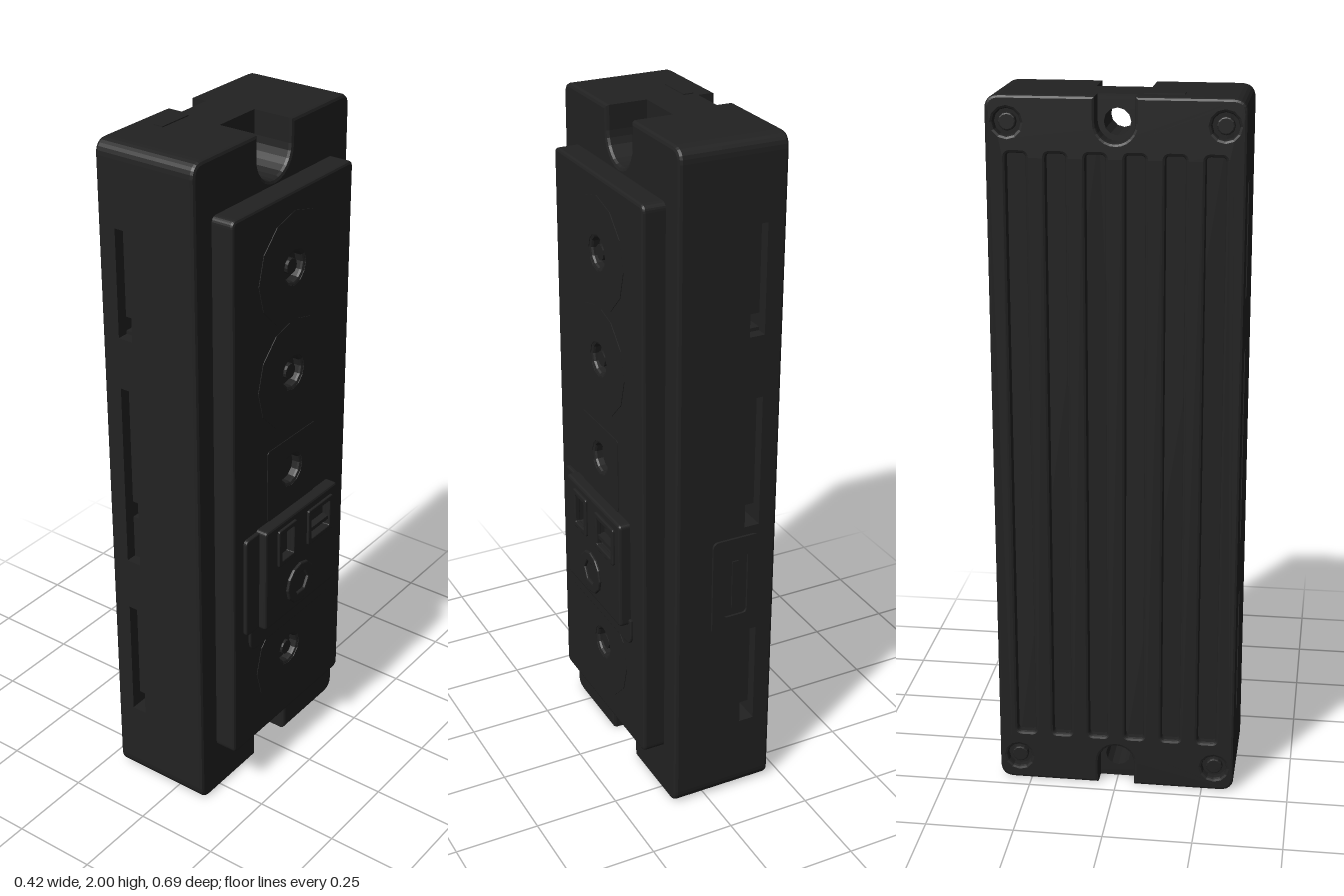
import * as THREE from 'three';

const plastic = new THREE.MeshStandardMaterial({ color: 0x222222 });
plastic.name = 'black plastic';

export function createModel() {
  const model = new THREE.Group();
  model.name = 'wallController';

  const add = (name, geo) => {
    const mesh = new THREE.Mesh(geo, plastic);
    mesh.name = name;
    model.add(mesh);
    return mesh;
  };
  const box = (name, x0, x1, y0, y1, z0, z1) => {
    const g = new THREE.BoxGeometry(x1 - x0, y1 - y0, z1 - z0);
    g.translate((x0 + x1) / 2, (y0 + y1) / 2, (z0 + z1) / 2);
    return add(name, g);
  };

  // Slab: a shape drawn in (-z, y), extruded from x0 to x1 with an inset bevel
  const slab = (name, shape, x0, x1, bevel = 0) => {
    const g = new THREE.ExtrudeGeometry(shape, {
      depth: x1 - x0 - 2 * bevel, bevelEnabled: bevel > 0, bevelThickness: bevel,
      bevelSize: bevel, bevelOffset: -bevel, bevelSegments: 2, curveSegments: 6,
    });
    g.translate(0, 0, x0 + bevel);
    g.rotateY(Math.PI / 2);
    return add(name, g);
  };
  // Rectangle with separate bottom and top corner radii
  const rect = (u0, u1, y0, y1, rb = 0, rt = rb, Type = THREE.Shape) => {
    const s = new Type();
    s.moveTo(u0 + rb, y0).lineTo(u1 - rb, y0);
    if (rb) s.quadraticCurveTo(u1, y0, u1, y0 + rb);
    s.lineTo(u1, y1 - rt);
    if (rt) s.quadraticCurveTo(u1, y1, u1 - rt, y1);
    s.lineTo(u0 + rt, y1);
    if (rt) s.quadraticCurveTo(u0, y1, u0, y1 - rt);
    s.lineTo(u0, y0 + rb);
    if (rb) s.quadraticCurveTo(u0, y0, u0 + rb, y0);
    return s;
  };
  const circle = (u, y, r, Type = THREE.Path) => {
    const c = new Type();
    c.absarc(u, y, r, 0, Math.PI * 2, false);
    return c;
  };
  // Case outline with a rounded notch in the top and bottom edges
  const W = 0.342, B = 0.004, T = 1.996, R = 0.04;
  const notched = (w, depth) => {
    const s = new THREE.Shape();
    s.moveTo(-W + R, B).lineTo(-w, B).lineTo(-w, depth - w);
    s.absarc(0, depth - w, w, Math.PI, 0, true);
    s.lineTo(w, B).lineTo(W - R, B);
    s.quadraticCurveTo(W, B, W, B + R).lineTo(W, T - R);
    s.quadraticCurveTo(W, T, W - R, T).lineTo(w, T).lineTo(w, 2 - depth + w);
    s.absarc(0, 2 - depth + w, w, 0, Math.PI, true);
    s.lineTo(-w, T).lineTo(-W + R, T);
    s.quadraticCurveTo(-W, T, -W, T - R).lineTo(-W, B + R);
    s.quadraticCurveTo(-W, B, -W + R, B);
    return s;
  };
  const holeY = [0.075, 1.925], holeR = 0.036;

  // Front shell with mounting notches
  slab('frontShell', notched(0.075, 0.147), -0.02, 0.09);
  slab('frontShellEdge', notched(0.075, 0.147), 0.065, 0.1, 0.01);

  // Middle shell, pierced by the mounting holes
  const middle = rect(-W, W, B, T, R);
  holeY.forEach((y) => middle.holes.push(circle(0, y, holeR)));
  slab('middleShell', middle, -0.11, -0.02);

  // Vent layer: solid ends, recessed core and solid bars between the side vents
  const lowEnd = rect(-W, W, B, 0.235, R, 0), highEnd = rect(-W, W, 1.77, T, 0, R);
  lowEnd.holes.push(circle(0, holeY[0], holeR));
  highEnd.holes.push(circle(0, holeY[1], holeR));
  slab('ventLayerBottom', lowEnd, -0.16, -0.11);
  slab('ventLayerTop', highEnd, -0.16, -0.11);
  for (const [a, b] of [[0.275, 0.89], [0.94, 1.47], [1.51, 1.77]])
    box('ventCore', -0.16, -0.11, a, b, -0.31, 0.31);
  for (const [a, b] of [[0.6, 0.76], [1.31, 1.46]])
    box('leftVentBar', -0.16, -0.11, a, b, 0.3, W);
  for (const [a, b] of [[0.55, 0.89], [1.28, 1.46]])
    box('rightVentBar', -0.16, -0.11, a, b, -W, -0.3);

  // Back cover with grooves and corner screws
  const lid = notched(0.052, 0.125);
  slab('backCoverBase', lid, -0.185, -0.155);
  const ribbed = notched(0.052, 0.125);
  for (let i = 0; i < 6; i++) {
    const u = (i - 2.5) * 0.105;
    ribbed.holes.push(rect(u - 0.026, u + 0.026, 0.155, 1.845, 0.012, 0.012, THREE.Path));
  }
  for (const u of [-0.285, 0.285]) for (const y of [0.075, 1.925]) {
    ribbed.holes.push(circle(u, y, 0.036));
    slab('coverScrew', circle(u, y, 0.024, THREE.Shape), -0.2, -0.18, 0.004);
  }
  slab('backCoverRibs', ribbed, -0.21, -0.175, 0.008);
  box('coverLatch', -0.155, -0.125, 1.99, 1.999, 0.068, 0.175);

  // Face plate with small round wells
  const plate = rect(-0.27, 0.27, 0.165, 1.84, 0.02);
  slab('facePlateBase', plate, 0.095, 0.14);
  const dialY = [0.39, 1.315, 1.625];
  const face = rect(-0.27, 0.27, 0.165, 1.84, 0.02);
  [...dialY, 1.01].forEach((y) => face.holes.push(circle(0, y, 0.042)));
  slab('facePlate', face, 0.12, 0.165, 0.008);

  // Flat round dials and a square pad around the wells
  for (const y of dialY) {
    const ring = circle(0, y, 0.16, THREE.Shape);
    ring.holes.push(circle(0, y, 0.052));
    slab('dialRing', ring, 0.16, 0.167);
    slab('dialPin', circle(0, y, 0.022, THREE.Shape), 0.135, 0.158);
  }
  const pad = rect(-0.115, 0.115, 0.89, 1.115, 0.012);
  pad.holes.push(circle(0, 1.01, 0.052));
  slab('squarePad', pad, 0.16, 0.167);

  // Control module: lower lip, side lip, block with two windows
  slab('moduleLip', rect(-0.2, 0.2, 0.495, 0.58, 0.035, 0), 0.155, 0.172, 0.003);
  slab('moduleSideLip', rect(-0.225, -0.15, 0.565, 0.885, 0.015), 0.155, 0.176, 0.004);
  const windows = [[-0.11, -0.022, 0.75, 0.87], [0.035, 0.158, 0.75, 0.865]];
  const block = rect(-0.165, 0.187, 0.56, 0.89, 0.012);
  const inset = (w, d) => [w[0] + d, w[1] - d, w[2] + d, w[3] - d];
  windows.forEach((w) => block.holes.push(rect(...inset(w, 0.012), 0.004, 0.004, THREE.Path)));
  slab('moduleBlock', block, 0.155, 0.199, 0.007);
  for (const w of windows) {
    const frame = rect(...w, 0.008);
    frame.holes.push(rect(...inset(w, 0.016), 0.004, 0.004, THREE.Path));
    slab('windowFrame', frame, 0.19, 0.206, 0.003);
    slab('windowFloor', rect(...inset(w, 0.01)), 0.16, 0.178);
  }
  box('windowBar', 0.17, 0.2, 0.785, 0.797, -0.155, -0.04);

  // Knob with a hexagonal socket
  const knob = circle(0, 0.645, 0.065, THREE.Shape);
  const hex = new THREE.Path();
  for (let i = 0; i < 6; i++) {
    const a = i * Math.PI / 3, p = [Math.cos(a) * 0.036, 0.645 + Math.sin(a) * 0.036];
    i ? hex.lineTo(...p) : hex.moveTo(...p);
  }
  hex.closePath();
  knob.holes.push(hex);
  slab('knob', knob, 0.19, 0.207, 0.004);

  // Port on the right side: raised frame around a tongue
  const port = rect(-0.155, -0.01, 0.565, 0.865, 0.02);
  port.holes.push(rect(-0.12, -0.045, 0.615, 0.815, 0.015, 0.015, THREE.Path));
  const portGeo = new THREE.ExtrudeGeometry(port, { depth: 0.012, bevelEnabled: false });
  portGeo.translate(0, 0, -0.349);
  add('portFrame', portGeo);
  box('portTongue', -0.092, -0.073, 0.64, 0.79, -0.346, -0.33);

  return model;
}
